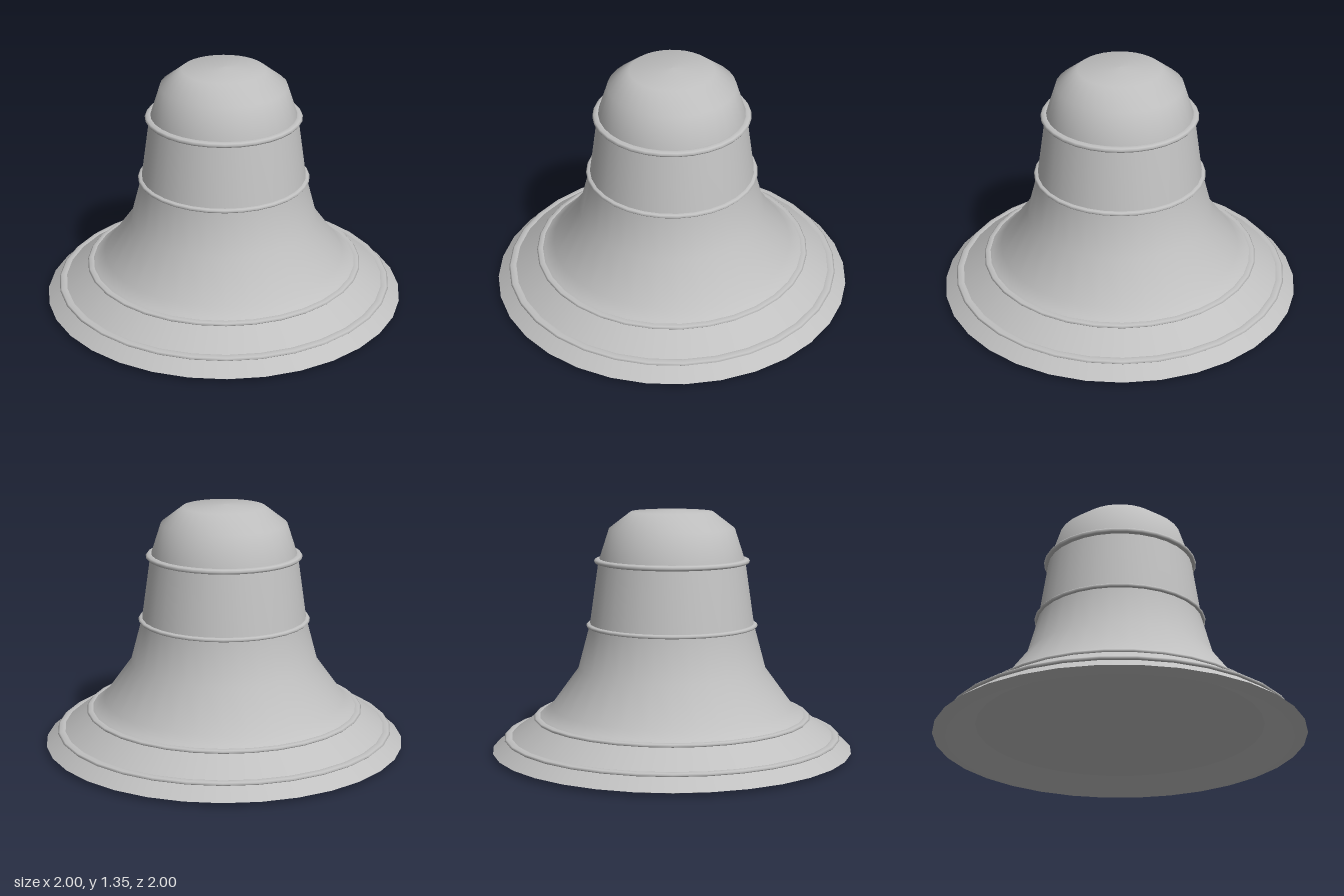
import * as THREE from 'three';

const SIDES = 32;

export function createModel() {
  const group = new THREE.Group();
  group.name = 'bell';
  const grey = new THREE.MeshStandardMaterial({ color: 0xc0c0c0 });
  grey.name = 'bell grey';

  const add = (name, geometry) => {
    const mesh = new THREE.Mesh(geometry, grey);
    mesh.name = name;
    group.add(mesh);
    return mesh;
  };
  const lathe = (name, points) =>
    add(name, new THREE.LatheGeometry(points.map(([r, y]) => new THREE.Vector2(r, y)), SIDES));

  // Flared bell wall and rounded crown
  lathe('bellBody', [
    [1, 0.02], [0.886, 0.105], [0.725, 0.218], [0.672, 0.26], [0.52, 0.468],
    [0.455, 0.71], [0.405, 1.06], [0.345, 1.245], [0.227, 1.335], [0, 1.347],
  ]);

  // Lip, sloping hollow and flat underside
  lathe('lip', [[0.93, 0], [1, 0.02]]);
  lathe('hollowWall', [[0.775, 0.08], [0.93, 0]]);
  lathe('underside', [[0, 0.08], [0.775, 0.08]]);

  // Raised bands: name, centre radius, height, half width, half thickness
  const bands = [
    ['lowerRimBand', 0.905, 0.09, 0.03, 0.011],
    ['upperRimBand', 0.743, 0.2, 0.027, 0.011],
    ['waistBand', 0.45, 0.71, 0.025, 0.012],
    ['shoulderBand', 0.405, 1.065, 0.025, 0.015],
  ];
  for (const [name, radius, y, width, thickness] of bands) {
    const ring = new THREE.TorusGeometry(radius, width, 8, SIDES);
    ring.rotateX(Math.PI / 2);
    ring.scale(1, thickness / width, 1);
    add(name, ring).position.y = y;
  }
  return group;
}
